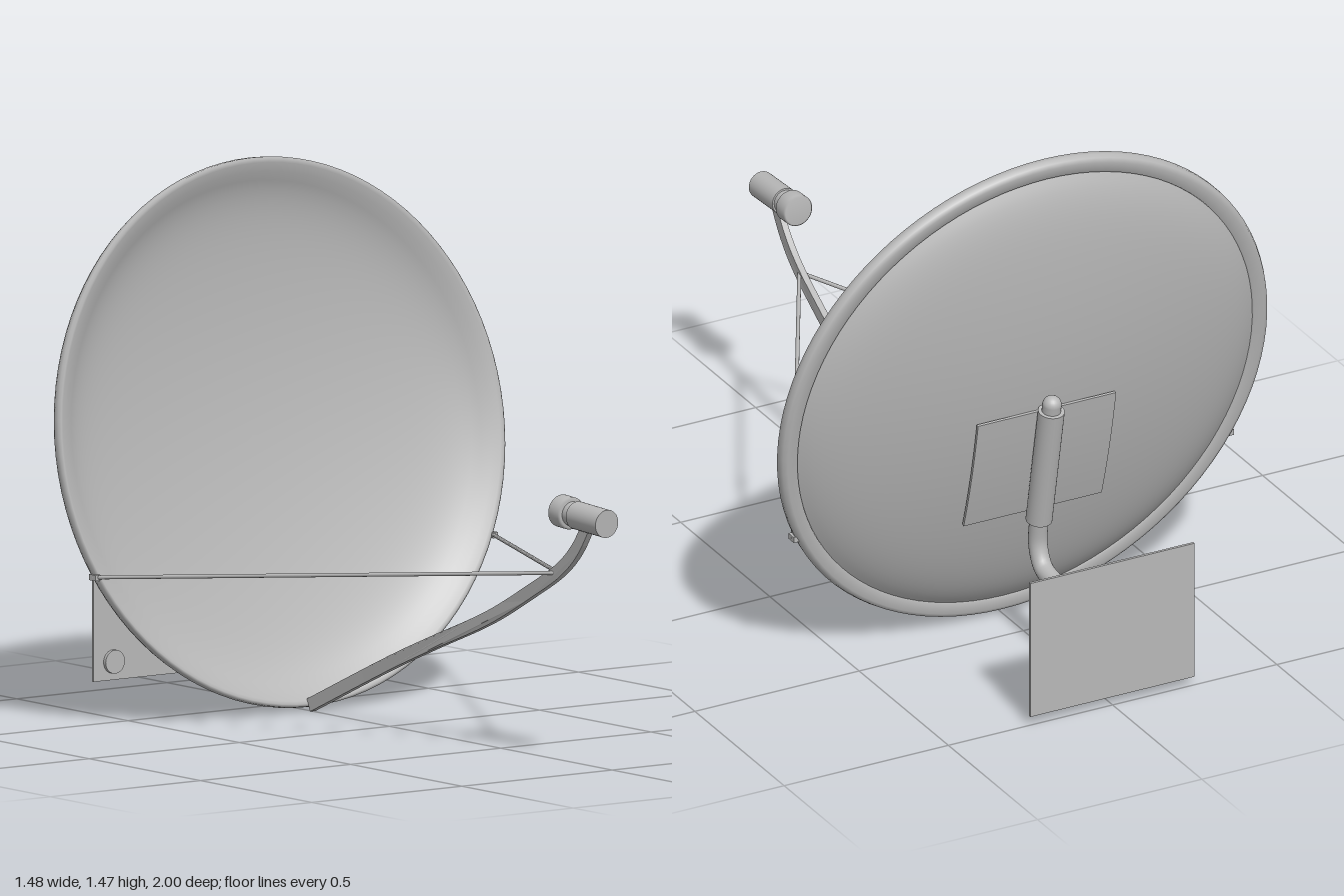
import * as THREE from 'three';

export function createModel() {
  const model = new THREE.Group();
  model.name = 'satelliteDish';
  const grey = new THREE.MeshStandardMaterial({ color: 0xb8b8b8, side: THREE.DoubleSide });
  grey.name = 'paintedGrey';

  const V = (x, y, z) => new THREE.Vector3(x, y, z);
  const add = (parent, name, geometry) => {
    const mesh = new THREE.Mesh(geometry, grey);
    mesh.name = name;
    parent.add(mesh);
    return mesh;
  };
  const lathe = (pts) =>
    new THREE.LatheGeometry(pts.map(([r, y]) => new THREE.Vector2(r, y)), 96).rotateX(Math.PI / 2);
  // Round bar between two points
  const rod = (parent, name, a, b, r, sides = 24) => {
    const d = b.clone().sub(a);
    const m = add(parent, name, new THREE.CylinderGeometry(r, r, d.length(), sides));
    m.position.copy(a).add(b).multiplyScalar(0.5);
    m.quaternion.setFromUnitVectors(V(0, 1, 0), d.normalize());
    return m;
  };

  // Reflector, leaning back; its own +z faces out of the bowl
  const dish = new THREE.Group();
  dish.name = 'dish';
  dish.position.set(0, 0.745, -0.48);
  dish.rotation.x = -0.176;
  model.add(dish);
  const depth = (r) => 0.145 - 0.19 * r * r - 0.022 * Math.pow(r / 0.68, 12);
  const back = [], bowl = [];
  for (let i = 0; i <= 32; i++) {
    const t = i / 32;
    back.push([0.695 * t, -depth(0.695 * t)]);
    const r = 0.722 * (1 - t);
    bowl.push([r, -Math.max(depth(r) - 0.008, 0.004)]);
  }
  add(dish, 'backShell', lathe(back));
  add(dish, 'bowl', lathe(bowl));
  add(dish, 'rim', lathe([
    [0.688, -0.024], [0.692, -0.034], [0.722, -0.036], [0.734, -0.03],
    [0.739, -0.018], [0.738, -0.004], [0.731, 0], [0.722, -0.004],
  ]));

  // Mounting plate that follows the curve of the shell
  const plate = new THREE.BoxGeometry(0.42, 0.345, 0.008, 1, 10, 1).translate(0, -0.162, 0);
  const p = plate.attributes.position;
  for (let i = 0; i < p.count; i++) p.setZ(i, p.getZ(i) - depth(Math.abs(p.getY(i))) - 0.005);
  plate.computeVertexNormals();
  add(dish, 'mountPlate', plate);

  // Bent pole, clamp sleeve and wall plate
  const mount = new THREE.Group();
  mount.name = 'wallMount';
  model.add(mount);
  const pole = new THREE.CatmullRomCurve3([
    V(0, 0.23, -0.992), V(0, 0.23, -0.8), V(0, 0.23, -0.66), V(0, 0.247, -0.608),
    V(0, 0.3, -0.582), V(0, 0.38, -0.588), V(0, 0.56, -0.624), V(0, 0.755, -0.66),
  ], false, 'centripetal');
  add(mount, 'pole', new THREE.TubeGeometry(pole, 64, 0.026, 24));
  add(mount, 'poleTip', new THREE.SphereGeometry(0.026, 24, 16)).position.set(0, 0.755, -0.66);
  rod(mount, 'sleeve', V(0, 0.378, -0.587), V(0, 0.735, -0.657), 0.036, 32);
  add(mount, 'wallPlate', new THREE.BoxGeometry(0.5, 0.4, 0.008)).position.set(0, 0.23, -0.996);
  for (const x of [-0.185, 0.185])
    for (const y of [0.08, 0.38])
      rod(mount, 'bolt', V(x, y, -0.994), V(x, y, -0.982), 0.032);

  // Flat feed arm: a side profile with constant height, bent slightly sideways
  const spine = new THREE.SplineCurve([
    [-0.352, 0.022], [0, 0.175], [0.2, 0.255], [0.45, 0.352],
    [0.65, 0.45], [0.78, 0.52], [0.86, 0.585], [0.92, 0.665],
  ].map(([z, y]) => new THREE.Vector2(z, y)));
  const upper = [], lower = [];
  for (let i = 0; i <= 40; i++) {
    const c = spine.getPoint(i / 40), t = spine.getTangent(i / 40);
    const n = new THREE.Vector2(-t.y, t.x).multiplyScalar(0.018);
    upper.unshift(c.clone().add(n));
    lower.push(c.sub(n));
  }
  const arm = new THREE.ExtrudeGeometry(new THREE.Shape([...lower, ...upper]), { depth: 0.018, bevelEnabled: false })
    .translate(0, 0, -0.009).rotateY(-Math.PI / 2);
  const a = arm.attributes.position;
  for (let i = 0; i < a.count; i++)
    a.setX(i, a.getX(i) - 0.016 * Math.pow(Math.max(0, (a.getZ(i) - 0.3) / 0.62), 2));
  arm.computeVertexNormals();
  add(model, 'feedArm', arm);

  // Thin stays from the rim to the arm
  for (const s of [-1, 1]) {
    rod(model, 'stay', V(s * 0.666, 0.415, -0.435), V(-0.008, 0.512, 0.77), 0.0055, 10);
    add(model, 'stayClip', new THREE.BoxGeometry(0.016, 0.016, 0.03)).position.set(s * 0.662, 0.415, -0.432);
  }

  // Receiver head: wide collar, neck and body
  const feed = new THREE.Group();
  feed.name = 'receiver';
  feed.position.set(-0.016, 0.678, 0.895);
  feed.rotation.x = 0.06;
  model.add(feed);
  rod(feed, 'receiverBody', V(0, 0, -0.03), V(0, 0, 0.103), 0.038, 32);
  rod(feed, 'receiverNeck', V(0, 0, -0.06), V(0, 0, -0.02), 0.033, 32);
  add(feed, 'receiverCollar', lathe([
    [0, -0.106], [0.039, -0.106], [0.044, -0.101], [0.044, -0.06], [0.039, -0.054], [0, -0.054],
  ]));

  return model;
}
